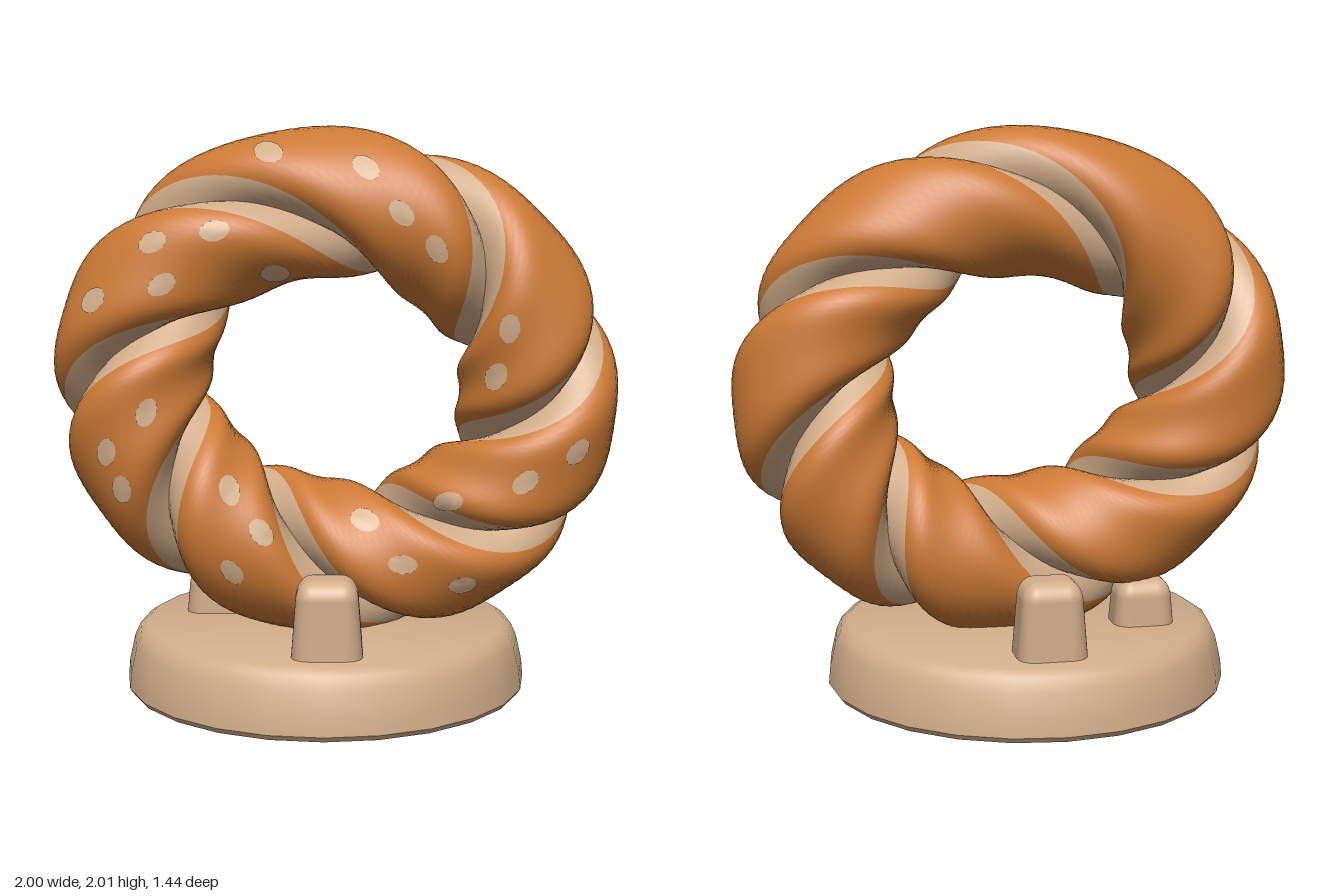
import * as THREE from 'three';
import { toCreasedNormals } from 'three/addons/utils/BufferGeometryUtils.js';
import { RoundedBoxGeometry } from 'three/addons/geometries/RoundedBoxGeometry.js';

const RING = { x: 0, y: 1.118, z: 0.025, rx: 0.712, ry: 0.625 };
// ring angles (degrees) at which a groove between turns meets the outer rim
const GROOVES = [16, 68, 141, 191, 240, 291, 330];

// number of half twists made by the rope up to a ring angle
function halfTwists(deg) {
  const linear = (a) => {
    const turn = Math.floor((a - GROOVES[0]) / 360);
    const b = a - turn * 360;
    let i = 6;
    while (GROOVES[i] > b) i--;
    const next = i < 6 ? GROOVES[i + 1] : GROOVES[0] + 360;
    return turn * 7 + i + (b - GROOVES[i]) / (next - GROOVES[i]);
  };
  let sum = 0;
  for (let k = -4; k <= 4; k++) sum += linear(deg + k * 5);
  return sum / 9;
}

// one strand running twice round the ring, twisted about itself
function ropeGeometry() {
  const N = 320, M = 40;
  const offset = 0.12, thick = 0.18, wide = 0.25;
  const pos = [], crust = [], dough = [];
  for (let i = 0; i < N; i++) {
    const t = (i / N) * Math.PI * 4;
    const phi = -Math.PI * halfTwists((t * 180) / Math.PI) + Math.PI / 2;
    // the ring is lopsided: fuller at the sides and bulging at the lower left
    const squash = 0.9 - 0.025 * Math.sin(t) + 0.035 * Math.cos(t) ** 2;
    const skew = 0.035 * Math.max(0, Math.cos(t + 0.9)) ** 2 - 0.008 * Math.sin(2 * t);
    for (let j = 0; j < M; j++) {
      const u = (j / M) * Math.PI * 2;
      const a = offset + thick * Math.cos(u), b = wide * Math.sin(u);
      const radial = skew + squash * (a * Math.cos(phi) - b * Math.sin(phi));
      pos.push(
        RING.x + (RING.rx + radial) * Math.cos(t),
        RING.y + (RING.ry + radial) * Math.sin(t),
        RING.z + a * Math.sin(phi) + b * Math.cos(phi));
      const i2 = (i + 1) % N, j2 = (j + 1) % M;
      const p = i * M + j, q = i2 * M + j, r = i2 * M + j2, s = i * M + j2;
      // the inner side of the strand is left pale
      const mid = ((j + 0.5) / M) * 360;
      (mid > 99 && mid < 261 ? dough : crust).push(p, q, s, q, r, s);
    }
  }
  const g = new THREE.BufferGeometry();
  g.setAttribute('position', new THREE.Float32BufferAttribute(pos, 3));
  g.setIndex([...crust, ...dough]);
  g.addGroup(0, crust.length, 0);
  g.addGroup(crust.length, dough.length, 1);
  g.computeVertexNormals();
  return g;
}

// rounded block narrowing towards its top, standing on y = 0
function pegGeometry(w, h, d) {
  const g = new RoundedBoxGeometry(w, h, d, 5, 0.065);
  g.translate(0, h / 2, 0);
  const p = g.attributes.position;
  for (let i = 0; i < p.count; i++) {
    const k = 1 - 0.2 * (p.getY(i) / h);
    p.setX(i, p.getX(i) * k);
    p.setZ(i, p.getZ(i) * k);
  }
  return g;
}

// thin oval skin laid on the rope, an ellipse along the strand when seen from the front
function seedGeometry(rope, x, y) {
  const n = 12, long = 0.052, short = 0.034;
  const ray = new THREE.Raycaster();
  const tilt = Math.atan2(x - RING.x, RING.y - y) - 0.45;
  const points = [], index = [];
  const project = (px, py) => {
    ray.set(new THREE.Vector3(px, py, 2), new THREE.Vector3(0, 0, -1));
    const hit = ray.intersectObject(rope)[0];
    points.push(hit ? hit.point.addScaledVector(hit.face.normal, 0.004) : null);
  };
  project(x, y);
  for (const k of [0.5, 1]) {
    for (let i = 0; i < n; i++) {
      const a = (i / n) * Math.PI * 2;
      const u = k * long * Math.cos(a), v = k * short * Math.sin(a);
      project(x + u * Math.cos(tilt) - v * Math.sin(tilt), y + u * Math.sin(tilt) + v * Math.cos(tilt));
    }
  }
  // leave out faces that would bridge a groove or the rim
  const face = (a, b, c) => {
    const [p, q, r] = [points[a], points[b], points[c]];
    if (!p || !q || !r || Math.max(p.distanceTo(q), q.distanceTo(r), r.distanceTo(p)) > 0.09) return;
    index.push(a, b, c);
  };
  for (let i = 0; i < n; i++) {
    const a = 1 + i, b = 1 + ((i + 1) % n);
    face(0, a, b);
    face(a, a + n, b + n);
    face(a, b + n, b);
  }
  const g = new THREE.BufferGeometry();
  g.setAttribute('position', new THREE.Float32BufferAttribute(points.flatMap((p) => (p ? p.toArray() : [x, y, 0])), 3));
  g.setIndex(index);
  g.computeVertexNormals();
  return g;
}

export function createModel() {
  const model = new THREE.Group();
  const crust = new THREE.MeshStandardMaterial({ color: 0xcc7a35 });
  crust.name = 'baked orange';
  const dough = new THREE.MeshStandardMaterial({ color: 0xd2ae8a });
  dough.name = 'pale dough';
  const add = (name, geometry, material, x = 0, y = 0, z = 0, parent = model) => {
    const mesh = new THREE.Mesh(geometry, material);
    mesh.name = name;
    mesh.position.set(x, y, z);
    parent.add(mesh);
    return mesh;
  };

  // round base with a softened rim
  const profile = [[0, 0], [0.705, 0], [0.72, 0.02], [0.715, 0.08], [0.695, 0.17],
    [0.675, 0.215], [0.645, 0.235], [0, 0.235]].map(([x, y]) => new THREE.Vector2(x, y));
  add('base', toCreasedNormals(new THREE.LatheGeometry(profile, 24), 0.7), dough, -0.03);

  // pegs holding the ring
  for (const side of [1, -1]) {
    add(side > 0 ? 'frontPeg' : 'backPeg', pegGeometry(0.255, 0.34, 0.22), dough, -0.02, 0.16, side * 0.47);
  }
  add('sidePeg', pegGeometry(0.24, 0.28, 0.2), dough, -0.43, 0.12, -0.14);

  const rope = add('twistedRing', ropeGeometry(), [crust, dough]);
  rope.updateMatrixWorld(true);

  // seeds scattered over the front
  const seeds = new THREE.Group();
  seeds.name = 'seeds';
  model.add(seeds);
  const spots = [[-0.22, 1.92], [0.11, 1.87], [0.23, 1.72], [0.35, 1.6], [-0.4, 1.66],
    [-0.61, 1.62], [-0.82, 1.42], [-0.58, 1.48], [-0.2, 1.51], [-0.64, 1.04], [-0.78, 0.9],
    [-0.73, 0.77], [-0.36, 0.76], [-0.25, 0.62], [-0.35, 0.48], [0.11, 0.65], [0.24, 0.51],
    [0.45, 0.43], [0.4, 0.72], [0.66, 0.8], [0.84, 0.9], [0.56, 1.16], [0.6, 1.33]];
  spots.forEach(([x, y]) => add('seed', seedGeometry(rope, x, y), dough, 0, 0, 0, seeds));

  return model;
}
